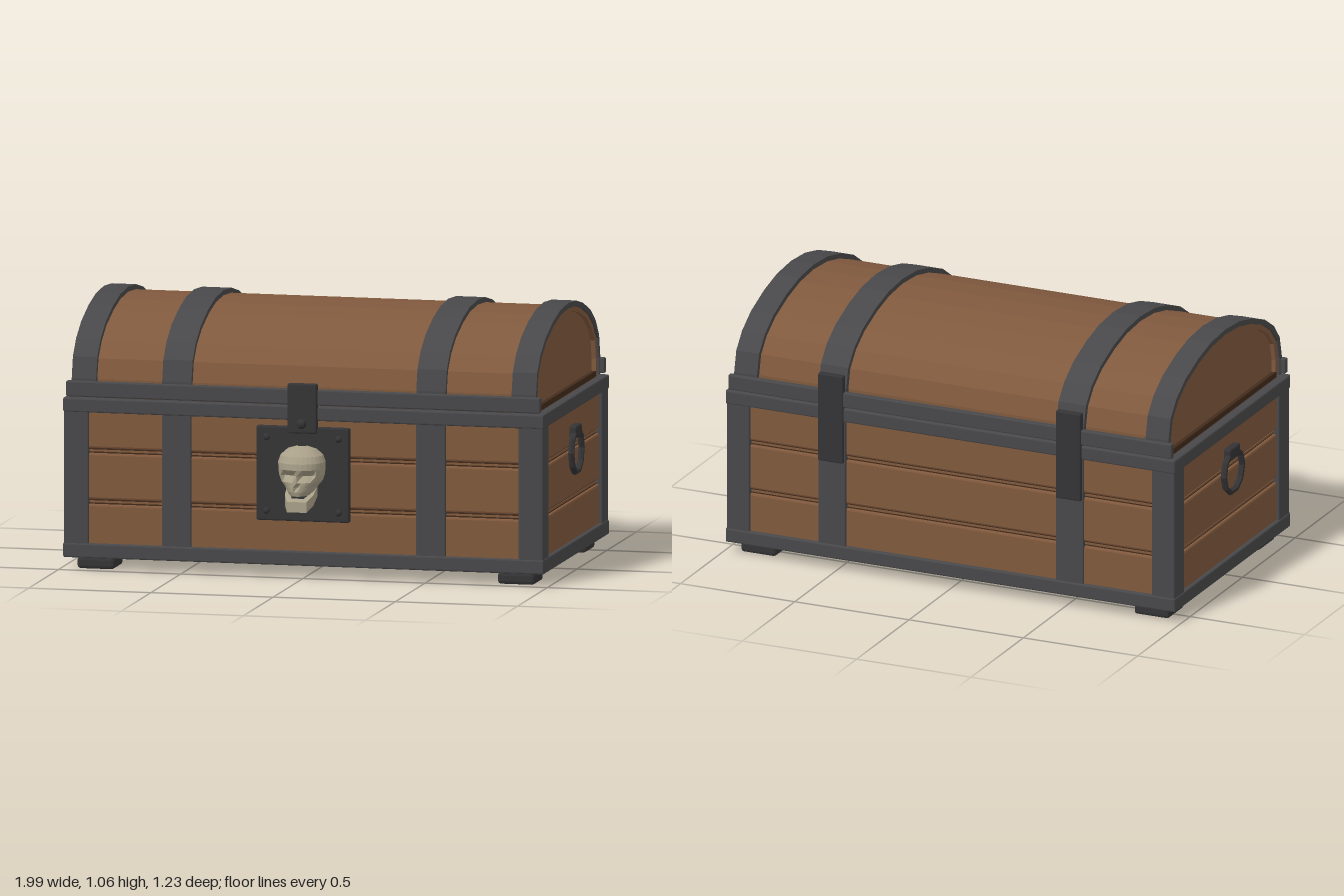
import * as THREE from 'three';
import { RoundedBoxGeometry } from 'three/addons/geometries/RoundedBoxGeometry.js';

const material = (color) => new THREE.MeshStandardMaterial({ color, flatShading: true });
const CZ = -0.057; // centre of the chest in z

export function createModel() {
  const model = new THREE.Group();
  const iron = material(0x48484a);
  const darkIron = material(0x343436);
  const wood = material(0x80593d);
  const groove = material(0x422b1c);
  const underside = material(0x241a16);
  const bone = material(0xa89f88);
  bone.side = THREE.DoubleSide;

  const add = (name, geometry, mat, parent = model) => {
    const mesh = new THREE.Mesh(geometry, mat);
    mesh.name = name;
    parent.add(mesh);
    return mesh;
  };
  // Box from its limits, with an optional chamfer
  const box = (name, x0, x1, y0, y1, z0, z1, mat, chamfer = 0) => {
    const size = [x1 - x0, y1 - y0, z1 - z0];
    const geometry = chamfer ? new RoundedBoxGeometry(...size, 1, chamfer) : new THREE.BoxGeometry(...size);
    geometry.translate((x0 + x1) / 2, (y0 + y1) / 2, (z0 + z1) / 2);
    return add(name, geometry, mat);
  };

  // Body: dark core that shows in the grooves, with planks standing proud of it
  box('bodyCore', -0.955, 0.955, 0.075, 0.685, CZ - 0.525, CZ + 0.525, groove);
  box('bottomBoard', -0.93, 0.93, 0.062, 0.08, CZ - 0.5, CZ + 0.5, underside);
  for (const [y0, y1] of [[0.07, 0.265], [0.285, 0.47], [0.49, 0.68]]) {
    box('plank', -0.967, 0.967, y0, y1, CZ - 0.537, CZ + 0.537, wood, 0.008);
  }
  for (const y of [0.275, 0.48]) {
    box('grooveStrip', -0.958, 0.958, y - 0.004, y + 0.004, CZ - 0.528, CZ + 0.528, wood);
  }

  // Iron frame: corner posts, rails and feet
  for (const sx of [-1, 1]) {
    for (const sz of [-1, 1]) {
      const x = sx * 0.93;
      const z = CZ + sz * 0.5;
      box('cornerPost', x - 0.05, x + 0.05, 0.08, 0.67, z - 0.05, z + 0.05, iron, 0.006);
      const fx = sx * 0.86;
      const fz = CZ + sz * 0.434;
      box('foot', fx - 0.076, fx + 0.076, 0, 0.046, fz - 0.076, fz + 0.076, darkIron, 0.012);
      box('footBlock', fx - 0.06, fx + 0.06, 0.03, 0.08, fz - 0.06, fz + 0.06, darkIron);
    }
  }
  for (const [y0, y1] of [[0.05, 0.108], [0.635, 0.692]]) {
    for (const s of [-1, 1]) {
      const z = CZ + s * 0.534;
      const x = s * 0.964;
      box('longRail', -0.983, 0.983, y0, y1, z - 0.02, z + 0.02, iron, 0.006);
      box('sideRail', x - 0.02, x + 0.02, y0, y1, CZ - 0.55, CZ + 0.55, iron, 0.006);
    }
  }
  for (const x of [-0.52, 0.52]) {
    for (const s of [-1, 1]) {
      const z = CZ + s * 0.53;
      box('bodyStrap', x - 0.06, x + 0.06, 0.08, 0.67, z - 0.018, z + 0.018, iron, 0.005);
    }
    box('hinge', x - 0.055, x + 0.055, 0.46, 0.83, -0.619, -0.59, darkIron, 0.006);
  }

  // Lid: one arched profile, inset for each layer and swept along x
  const half = [[0.54, 0.695], [0.54, 0.77], [0.52, 0.855], [0.465, 0.92], [0.38, 0.975], [0.255, 1.022], [0.135, 1.05]];
  const arch = (inset) => {
    const right = half.map(([z, y], i) => new THREE.Vector2(
      z * (1 - inset / 0.54), i ? 0.695 + (y - 0.695) * (1 - inset / 0.365) : y));
    const left = right.map((p) => new THREE.Vector2(-p.x, p.y)).reverse();
    return [...right, new THREE.Vector2(0, 1.06 - inset), ...left];
  };
  const sweep = (name, points, x0, x1, mat) => {
    const geometry = new THREE.ExtrudeGeometry(new THREE.Shape(points), { depth: x1 - x0, bevelEnabled: false });
    geometry.rotateY(Math.PI / 2).translate(x0, 0, CZ);
    return add(name, geometry, mat);
  };
  const shell = (outer, inner) => [...arch(outer), ...arch(inner).reverse()];
  sweep('lidEndPanels', arch(0.035), -0.925, 0.925, wood);
  sweep('lidShell', shell(0.02, 0.042), -0.942, 0.942, wood);
  for (const [x0, x1] of [[-0.95, -0.85], [-0.58, -0.46], [0.46, 0.58], [0.85, 0.95]]) {
    sweep('lidBand', shell(0, 0.022), x0, x1, iron);
  }
  for (const s of [-1, 1]) {
    const z = CZ + s * 0.543;
    box('lidRim', -0.97, 0.97, 0.698, 0.76, z - 0.014, z + 0.014, iron, 0.005);
    box('lidSill', s * 0.932 - 0.01, s * 0.932 + 0.01, 0.69, 0.712, CZ - 0.505, CZ + 0.505, groove);
  }

  // Ring handles on both ends
  for (const s of [-1, 1]) {
    const ring = add('ringHandle', new THREE.TorusGeometry(0.087, 0.013, 6, 10), darkIron);
    ring.rotation.y = Math.PI / 2;
    ring.position.set(s * 0.984, 0.468, CZ);
    box('handleMount', s * 0.978 - 0.018, s * 0.978 + 0.018, 0.522, 0.572, CZ - 0.05, CZ + 0.05, darkIron, 0.008);
  }

  // Lock plate, hasp and rivets
  box('lockPlate', -0.19, 0.19, 0.23, 0.61, 0.475, 0.505, darkIron, 0.006);
  box('hasp', -0.06, 0.06, 0.585, 0.785, 0.488, 0.516, darkIron, 0.006);
  const rivet = (x, y, z, r) => add('rivet', new THREE.SphereGeometry(r, 8, 6), darkIron).position.set(x, y, z);
  for (const x of [-0.148, 0.148]) for (const y of [0.27, 0.566]) rivet(x, y, 0.507, 0.014);
  rivet(0, 0.625, 0.522, 0.02);

  // Skull: half rings stacked upward, with eye and nose hollows pressed in
  const skull = new THREE.Group();
  skull.name = 'skull';
  model.add(skull);
  // Each level: y, half width, depth
  const levels = [[0.345, 0.045, 0.105], [0.362, 0.057, 0.11], [0.38, 0.066, 0.11], [0.4, 0.083, 0.108],
    [0.425, 0.092, 0.106], [0.45, 0.094, 0.112], [0.475, 0.095, 0.11], [0.502, 0.086, 0.095], [0.525, 0.06, 0.066], [0.537, 0.02, 0.025]];
  const columns = 14;
  const cranium = new THREE.PlaneGeometry(1, 1, columns, levels.length - 1);
  const position = cranium.attributes.position;
  for (let i = 0; i < position.count; i++) {
    const row = levels.length - 1 - Math.floor(i / (columns + 1));
    const angle = ((i % (columns + 1)) / columns - 0.5) * Math.PI;
    const [y, width, depth] = levels[row];
    const x = Math.sin(angle) * width;
    let z = 0.502 + Math.pow(Math.cos(angle), 0.8) * depth;
    if (Math.hypot(Math.abs(x) - 0.038, y - 0.425) < 0.024) z -= 0.03;
    if (Math.hypot(x, y - 0.38) < 0.01) z -= 0.025;
    position.setXYZ(i, x, y, z);
  }
  cranium.computeVertexNormals();
  add('cranium', cranium, bone, skull);

  // Lower jaw: a U-shaped slab sloping down towards the chin
  const jawShape = new THREE.Shape([[-0.062, 0], [-0.058, 0.06], [-0.04, 0.1], [0.04, 0.1], [0.058, 0.06], [0.062, 0],
    [0.044, 0], [0.04, 0.05], [0.025, 0.08], [-0.025, 0.08], [-0.04, 0.05], [-0.044, 0]].map((p) => new THREE.Vector2(...p)));
  const jawGeometry = new THREE.ExtrudeGeometry(jawShape, { depth: 0.042, bevelEnabled: false });
  const jawPosition = jawGeometry.attributes.position;
  for (let i = 0; i < jawPosition.count; i++) {
    const z = jawPosition.getY(i);
    jawPosition.setXYZ(i, jawPosition.getX(i), 0.378 - jawPosition.getZ(i) - z * 0.55, 0.505 + z);
  }
  jawGeometry.computeVertexNormals();
  add('jaw', jawGeometry, bone, skull);

  return model;
}
